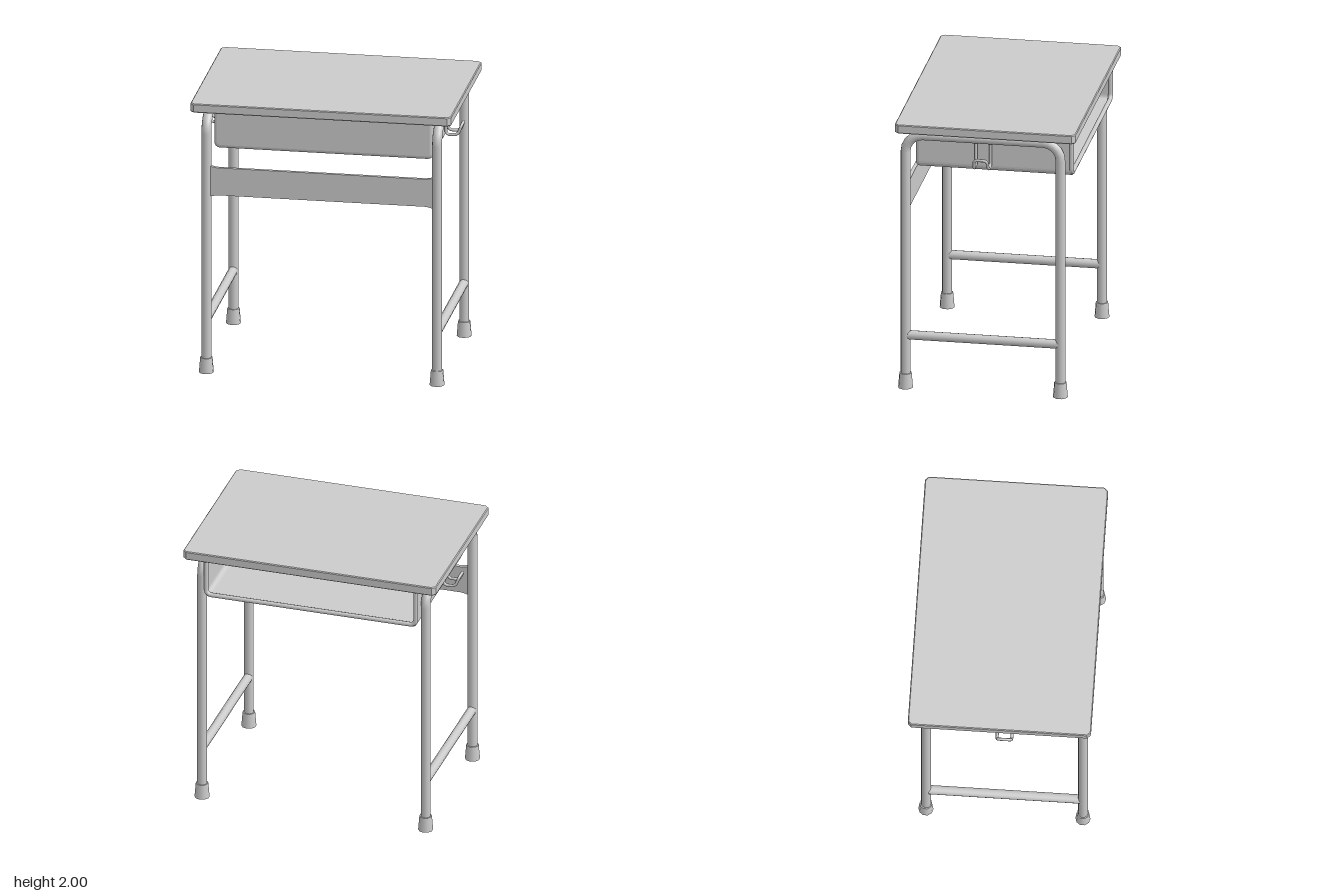
import * as THREE from 'three';

const material = new THREE.MeshStandardMaterial({ color: 0xcccccc });
const v = (x, y, z) => new THREE.Vector3(x, y, z);

function add(parent, name, geometry, x = 0, y = 0, z = 0) {
  const mesh = new THREE.Mesh(geometry, material);
  mesh.name = name;
  mesh.position.set(x, y, z);
  parent.add(mesh);
  return mesh;
}

// Path of straight runs with every inner corner rounded by distance r
function roundedPath(points, r) {
  const path = new THREE.CurvePath();
  let from = points[0];
  for (let i = 1; i < points.length - 1; i++) {
    const p = points[i];
    const a = p.clone().add(points[i - 1].clone().sub(p).setLength(r));
    const b = p.clone().add(points[i + 1].clone().sub(p).setLength(r));
    // cubic handles give a near-circular bend
    path.add(new THREE.LineCurve3(from, a));
    path.add(new THREE.CubicBezierCurve3(a, a.clone().lerp(p, 0.55), b.clone().lerp(p, 0.55), b));
    from = b;
  }
  path.add(new THREE.LineCurve3(from, points[points.length - 1]));
  return path;
}

// Upright box outline with rounded lower corners
function trayOutline(hw, bottom, top, r) {
  const s = new THREE.Shape();
  s.moveTo(-hw, top);
  s.lineTo(-hw, bottom + r);
  s.quadraticCurveTo(-hw, bottom, -hw + r, bottom);
  s.lineTo(hw - r, bottom);
  s.quadraticCurveTo(hw, bottom, hw, bottom + r);
  s.lineTo(hw, top);
  return s;
}

export function createModel() {
  const desk = new THREE.Group();
  desk.name = 'schoolDesk';

  // Top with clipped corners and a fine bevel
  const b = 0.006, hx = 0.93 - b, hz = 0.645 - b, c = 0.022;
  const topShape = new THREE.Shape([
    [-hx + c, -hz], [hx - c, -hz], [hx, -hz + c], [hx, hz - c],
    [hx - c, hz], [-hx + c, hz], [-hx, hz - c], [-hx, -hz + c],
  ].map(([x, y]) => new THREE.Vector2(x, y)));
  const topGeometry = new THREE.ExtrudeGeometry(topShape, {
    depth: 0.065 - 2 * b, bevelSize: b, bevelThickness: b, bevelSegments: 1,
  });
  topGeometry.rotateX(-Math.PI / 2);
  add(desk, 'deskTop', topGeometry, 0, 1.935 + b, 0);

  // Side frames: bent tube, lower rail, rubber feet and bag hook
  const zFront = 0.583, zBack = -0.523, legX = 0.823;
  for (const side of [1, -1]) {
    const frame = new THREE.Group();
    frame.name = side > 0 ? 'leftFrame' : 'rightFrame';
    desk.add(frame);
    const x = side * legX;

    const legPath = roundedPath(
      [v(x, 0.05, zFront), v(x, 1.895, zFront), v(x, 1.895, zBack), v(x, 0.05, zBack)], 0.125);
    add(frame, 'legTube', new THREE.TubeGeometry(legPath, 120, 0.035, 12));

    const rail = new THREE.CylinderGeometry(0.033, 0.033, zFront - zBack, 12);
    rail.rotateX(Math.PI / 2);
    add(frame, 'lowerRail', rail, x, 0.393, (zFront + zBack) / 2);

    for (const z of [zFront, zBack]) {
      add(frame, 'foot', new THREE.CylinderGeometry(0.044, 0.053, 0.11, 10), x, 0.055, z);
    }

    // Wire runs down, outwards, up to the tip, across and back again
    const half = [[0.80, 1.93, 0.052], [0.80, 1.69, 0.052], [0.882, 1.69, 0.052], [0.912, 1.765, 0.045]];
    const hookPoints = [
      ...half.map(([px, py, pz]) => v(side * px, py, 0.033 + pz)),
      ...half.slice().reverse().map(([px, py, pz]) => v(side * px, py, 0.033 - pz)),
    ];
    add(frame, 'bagHook', new THREE.TubeGeometry(roundedPath(hookPoints, 0.024), 100, 0.011, 8));
  }

  // Front brace, flared where it meets the legs
  const brace = new THREE.Shape([
    [-0.80, 1.305], [-0.745, 1.317], [0.745, 1.317], [0.80, 1.305],
    [0.80, 1.53], [0.745, 1.52], [-0.745, 1.52], [-0.80, 1.53],
  ].map(([x, y]) => new THREE.Vector2(x, y)));
  add(desk, 'frontBrace', new THREE.ExtrudeGeometry(brace, { depth: 0.026, bevelEnabled: false }),
    0, 0, zFront - 0.013);

  // Book tray: folded sheet, open at the back
  const tray = new THREE.Group();
  tray.name = 'bookTray';
  desk.add(tray);
  const sheet = trayOutline(0.782, 1.64, 1.936, 0.045);
  const inner = trayOutline(0.768, 1.654, 1.936, 0.035).getPoints(6).reverse();
  inner.forEach((p) => sheet.lineTo(p.x, p.y));
  add(tray, 'traySheet', new THREE.ExtrudeGeometry(sheet, {
    depth: 1.085, bevelEnabled: false, curveSegments: 6,
  }), 0, 0, -0.595);

  // Closed front wall with softened edges
  const e = 0.025;
  add(tray, 'trayFront', new THREE.ExtrudeGeometry(trayOutline(0.782 - e, 1.64 + e, 1.936 - e, 0.02), {
    depth: 0.006, bevelSize: e, bevelThickness: e, bevelSegments: 4, curveSegments: 6,
  }), 0, 0, 0.489);

  // Rolled lip around the opening
  const lip = roundedPath([v(-0.772, 1.936, -0.593), v(-0.772, 1.657, -0.593),
    v(0.772, 1.657, -0.593), v(0.772, 1.936, -0.593)], 0.04);
  add(tray, 'trayLip', new THREE.TubeGeometry(lip, 120, 0.017, 8));

  return desk;
}
